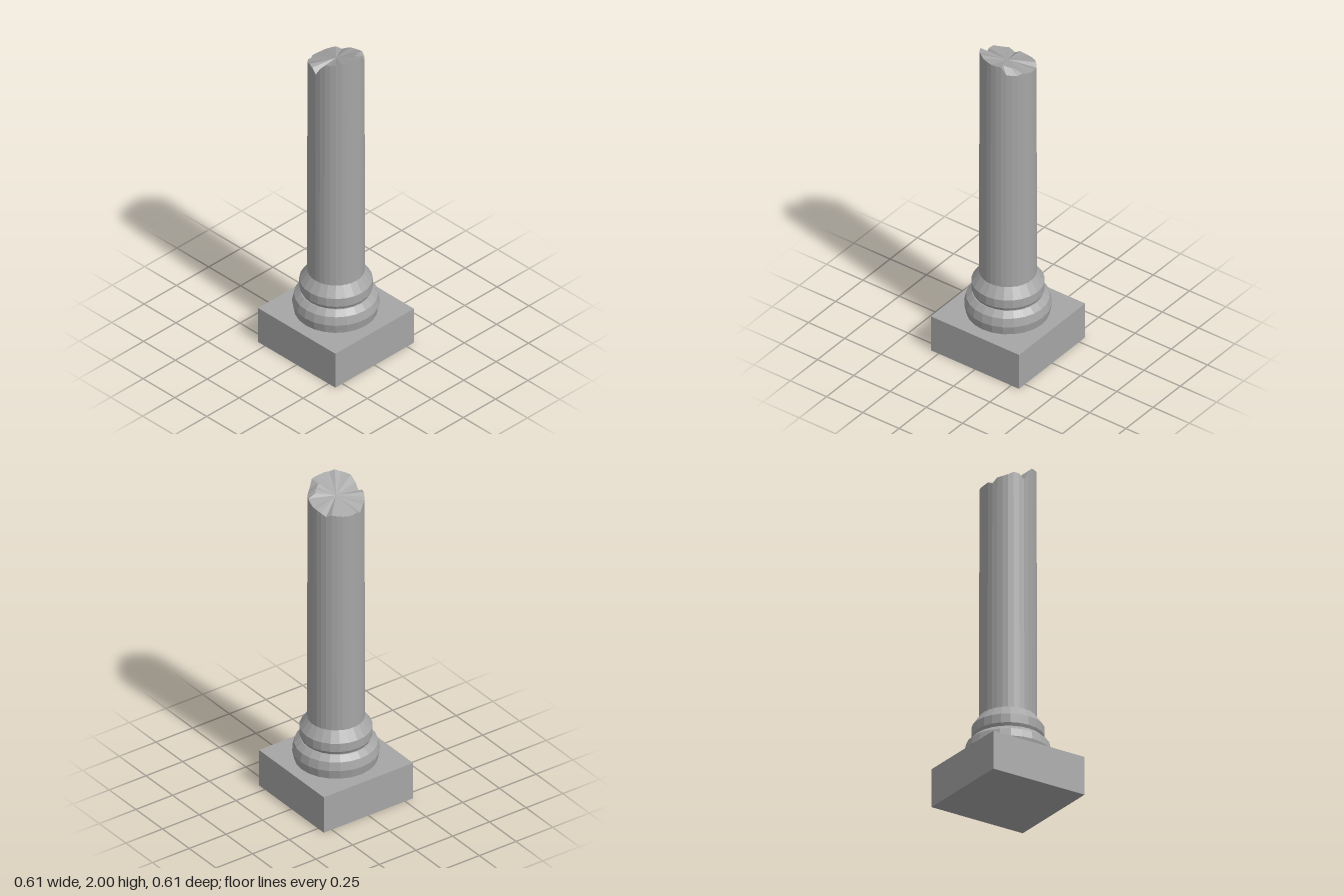
import * as THREE from 'three';

const SIDES = 32;

// Height of the broken rim, stepping round from +x towards +z
const RIM = [
  1.985, 1.99, 1.99, 2.0, 1.99, 1.985, 1.98, 1.945,
  1.895, 1.925, 1.93, 1.915, 1.905, 1.9, 1.87, 1.885,
  1.88, 1.88, 1.885, 1.89, 1.895, 1.88, 1.895, 1.905,
  1.91, 1.92, 1.93, 1.925, 1.93, 1.935, 1.985, 1.985,
];
const CENTRE = 1.93;
const INNER = 0.72; // inner ring, as a fraction of the shaft radius
const CHIP = { 27: 1.945, 28: 1.955, 29: 1.96 }; // edge behind the chipped notch

// Joins a stack of equal rings, bottom to top, into a flat-faced surface
function skin(rings) {
  const pos = [];
  for (let j = 0; j < rings.length - 1; j++) {
    for (let i = 0; i < SIDES; i++) {
      const k = (i + 1) % SIDES;
      const [a, b, c, d] = [rings[j][i], rings[j + 1][i], rings[j + 1][k], rings[j][k]];
      if (j < rings.length - 2) pos.push(...a, ...b, ...c);
      pos.push(...a, ...c, ...d);
    }
  }
  const geo = new THREE.BufferGeometry();
  geo.setAttribute('position', new THREE.Float32BufferAttribute(pos, 3));
  geo.computeVertexNormals();
  return geo;
}

function ring(radius, height) {
  return RIM.map((_, i) => {
    const t = (i / SIDES) * Math.PI * 2;
    return [Math.cos(t) * radius, height(i), Math.sin(t) * radius];
  });
}

export function createModel() {
  const stone = new THREE.MeshStandardMaterial({ color: 0xa6a6a6 });
  stone.name = 'grey stone';
  stone.flatShading = true;

  const group = new THREE.Group();
  group.name = 'brokenColumn';
  const add = (name, geo) => {
    const mesh = new THREE.Mesh(geo, stone);
    mesh.name = name;
    group.add(mesh);
    return mesh;
  };
  const turned = (name, profile) => add(name,
    new THREE.LatheGeometry(profile.map(([r, y]) => new THREE.Vector2(r, y)), 24));

  // Square plinth
  add('plinth', new THREE.BoxGeometry(0.608, 0.23, 0.608)).position.y = 0.115;

  // Two turned mouldings
  turned('lowerMoulding', [[0.232, 0.23], [0.243, 0.285], [0.232, 0.335], [0.2, 0.365], [0.15, 0.365]]);
  turned('upperMoulding', [[0.15, 0.365], [0.193, 0.365], [0.203, 0.385], [0.203, 0.438], [0.16, 0.5], [0.15, 0.5]]);

  // Shaft with its jagged, chipped top
  const top = 0.157;
  add('shaft', skin([
    ring(0.16, () => 0.48),
    ring(0.16, () => 0.87),
    ring(top, (i) => RIM[i]),
    ring(top * INNER, (i) => CHIP[i] ?? CENTRE + (RIM[i] - CENTRE) * INNER),
    ring(0, () => CENTRE),
  ]));

  return group;
}
